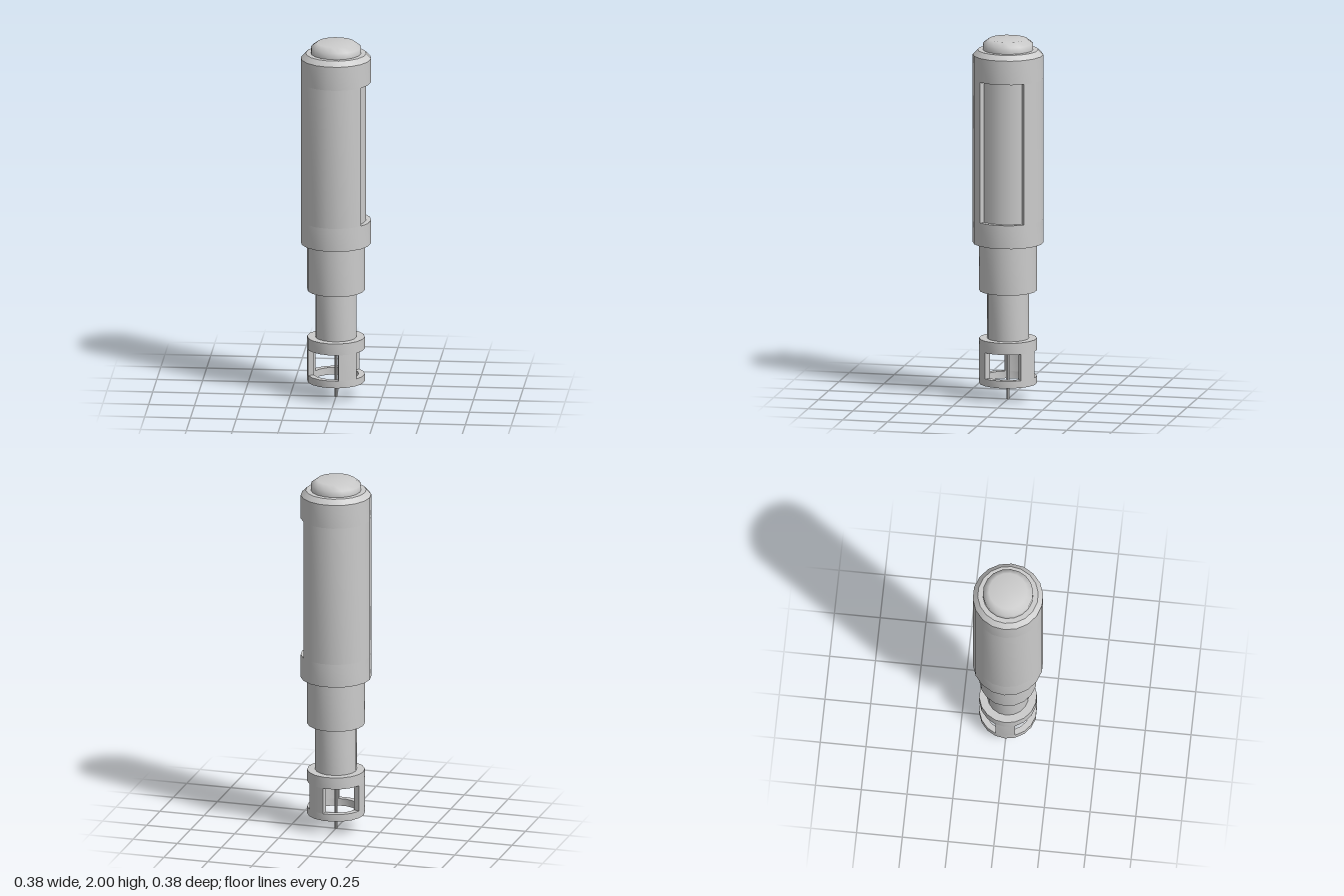
import * as THREE from 'three';
import { toCreasedNormals } from 'three/addons/utils/BufferGeometryUtils.js';

const SIDES = 18;
const STEP = 360 / SIDES;
const rad = THREE.MathUtils.degToRad;
const grey = new THREE.MeshStandardMaterial({ color: 0xcccccc, side: THREE.DoubleSide });

export function createModel() {
  const model = new THREE.Group();

  function add(name, geometry) {
    const mesh = new THREE.Mesh(geometry, grey);
    mesh.name = name;
    model.add(mesh);
  }

  // Turned part from [radius, y] pairs, with a corner on the +x axis
  function turned(profile, crease = 0.6, sides = SIDES) {
    const points = profile.map(([r, y]) => new THREE.Vector2(r, y));
    const geometry = new THREE.LatheGeometry(points, sides, Math.PI / 2);
    return crease ? toCreasedNormals(geometry, crease) : geometry;
  }

  // Curved wall between two radii and two angles (degrees from +x)
  function wall(rIn, rOut, y0, y1, from, to) {
    const outer = [], inner = [];
    for (let a = from; a <= to; a += STEP) {
      const c = Math.cos(rad(a)), s = Math.sin(rad(a));
      outer.push(new THREE.Vector2(rOut * c, rOut * s));
      inner.unshift(new THREE.Vector2(rIn * c, rIn * s));
    }
    const shape = new THREE.Shape([...outer, ...inner]);
    const geometry = new THREE.ExtrudeGeometry(shape, { depth: y1 - y0, bevelEnabled: false });
    geometry.rotateX(-Math.PI / 2).translate(0, y0, 0);
    return toCreasedNormals(geometry, 0.6);
  }

  // Main barrel: lower band, wall around the window, bevelled upper band
  add('barrelLowerBand', turned([[0.15, 0.87], [0.192, 0.87], [0.192, 1.0], [0.16, 1.0]]));
  add('barrelWall', wall(0.165, 0.192, 1.0, 1.78, 40, 320));
  add('barrelUpperBand', turned([[0.16, 1.78], [0.192, 1.78], [0.192, 1.913], [0.165, 1.94], [0.12, 1.94]]));

  // Recessed panel behind the window
  const panel = new THREE.CylinderGeometry(0.165, 0.165, 0.78, 4, 1, true, rad(50), rad(80));
  add('windowPanel', panel.translate(0, 1.39, 0));

  // Push button with softly rounded edge
  add('button', turned([[0.137, 1.94], [0.137, 1.975], [0.104, 2.0], [0, 2.0]], 0));

  // Stepped sleeves below the barrel
  add('collar', turned([[0.1, 0.605], [0.157, 0.605], [0.157, 0.87]]));
  add('neck', turned([[0.113, 0.34], [0.113, 0.605]]));

  // Cage: top cap, three posts, bottom ring
  add('cageCap', turned([[0, 0.275], [0.157, 0.275], [0.157, 0.34], [0.1, 0.34]]));
  for (const a of [40, 160, 280]) add('cagePost', wall(0.123, 0.157, 0.13, 0.275, a, a + 40));
  add('cageRing', turned([[0.123, 0.13], [0.123, 0.09], [0.157, 0.09], [0.157, 0.13], [0.123, 0.13]]));

  // Needle through the cage
  add('needle', turned([[0, 0], [0.008, 0], [0.008, 0.275]], 1.0, 8));

  return model;
}
